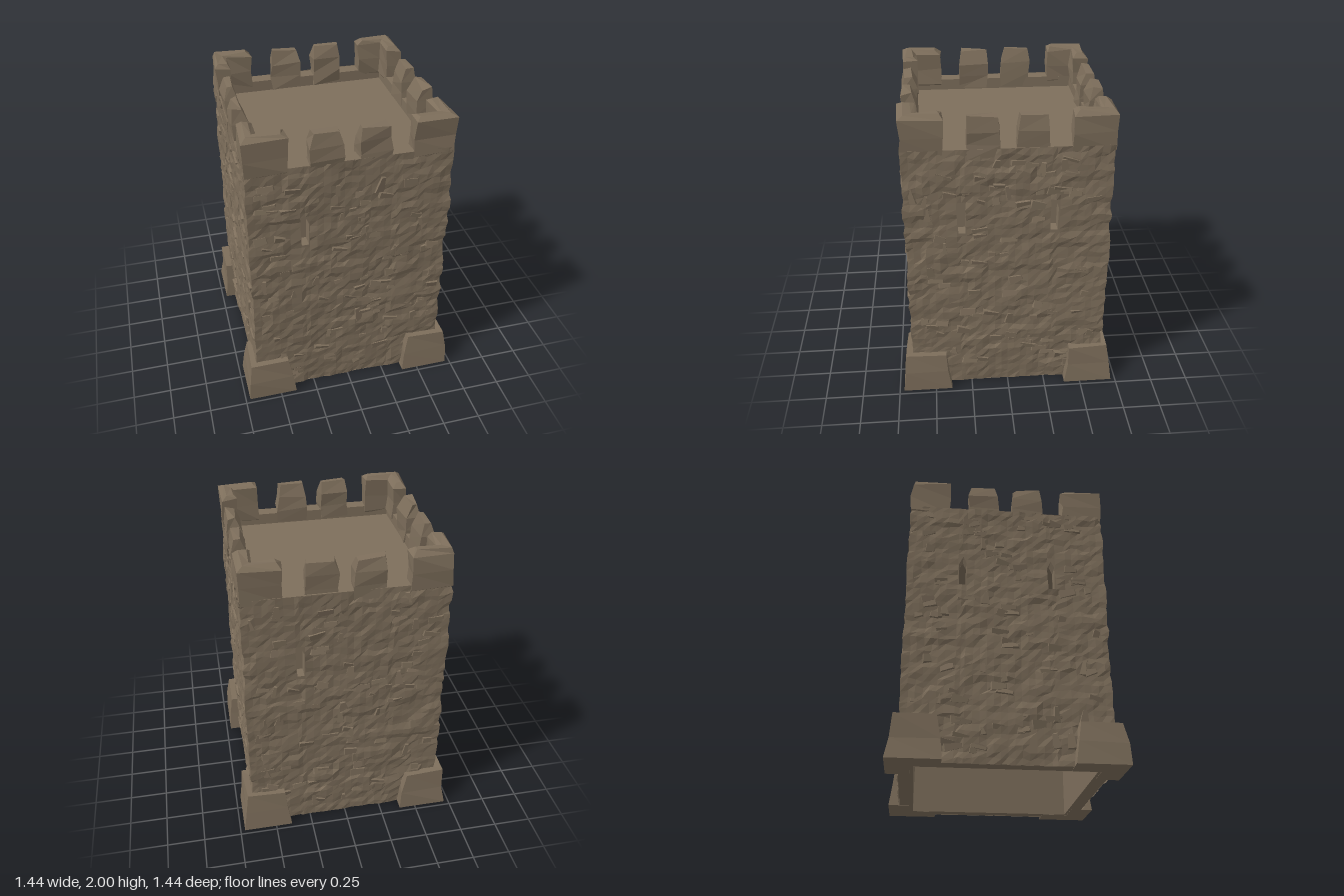
import * as THREE from 'three';
import { mergeGeometries } from 'three/addons/utils/BufferGeometryUtils.js';

const OUT = 0.635, IN = 0.55, WALL = 1.78, COLS = 30, ROWS = 45;
const SLITS = [[-0.29], [-0.29, 0.29], [-0.29], [-0.29, 0.29]]; // front, left, back, right
const UP = new THREE.Vector3(0, 1, 0);

// repeatable value 0..1 from up to three numbers
function hash(a, b = 0, c = 0) {
  const s = Math.sin(a * 127.1 + b * 311.7 + c * 74.7) * 43758.5453;
  return s - Math.floor(s);
}

// move every vertex by a rule
function warp(geometry, rule) {
  const pos = geometry.attributes.position, v = new THREE.Vector3();
  for (let i = 0; i < pos.count; i++) {
    rule(v.fromBufferAttribute(pos, i));
    pos.setXYZ(i, v.x, v.y, v.z);
  }
  geometry.computeVertexNormals();
  return geometry;
}

// rough stone: shared corners receive the same offset
function roughen(geometry, amount) {
  return warp(geometry, v => {
    const [a, b, c] = [v.x, v.y, v.z].map(n => Math.round(n * 500));
    if (v.y < 0.01) return;
    v.x += (hash(a, b, c) - 0.5) * amount;
    v.z += (hash(c, a, b) - 0.5) * amount;
    v.y = Math.min(2, v.y + (hash(b, c, a) - 0.5) * amount);
  });
}

// coursed stone skin running around all four sides, left open at the slits
function stoneSkin() {
  const pos = [], index = [], n = COLS * 4, v = new THREE.Vector3();
  const snapped = { 6: 0.262, 7: 0.29, 8: 0.318 };
  for (let row = 0; row <= ROWS; row++) {
    const course = Math.floor(row / 2);
    for (let p = 0; p < n; p++) {
      const side = Math.floor(p / COLS), i = (p % COLS) - COLS / 2, j = Math.abs(i);
      const u = Math.sign(i) * (snapped[j] ?? j * 0.64 / 15);
      const stone = Math.floor((p + 4 * hash(course, 9)) / 4);
      const r = OUT + 0.014 * hash(course, stone) + 0.008 * hash(p, row, 3);
      const level = row === 0 || row === 30 || row === 36 || row === ROWS;
      const y = WALL * row / ROWS + (level ? 0 : (hash(row, p, 5) - 0.5) * 0.026);
      v.set(u * r / 0.64, y, r).applyAxisAngle(UP, side * Math.PI / 2);
      pos.push(v.x, v.y, v.z);
    }
  }
  for (let row = 0; row < ROWS; row++) for (let p = 0; p < n; p++) {
    const mid = (p % COLS) + 0.5 - COLS / 2, side = Math.floor(p / COLS);
    const inSlit = SLITS[side].some(s => Math.sign(s) === Math.sign(mid)) &&
      Math.abs(mid) > 6 && Math.abs(mid) < 8 && row >= 30 && row < 36;
    if (inSlit) continue;
    const q = (p + 1) % n, a = row * n + p, b = row * n + q;
    index.push(a, b, b + n, a, b + n, a + n);
  }
  const g = new THREE.BufferGeometry();
  g.setAttribute('position', new THREE.Float32BufferAttribute(pos, 3));
  g.setIndex(index);
  g.computeVertexNormals();
  return g;
}

// thin jutting stones scattered on one side
function juttingStones(side) {
  const parts = [];
  for (let k = 0; k < 95; k++) {
    const r = m => hash(k, side + 1, m);
    const x = (r(1) - 0.5) * 1.18, y = 0.08 + r(2) * 1.64;
    if (Math.abs(Math.abs(x) - 0.29) < 0.1 && y > 1.13 && y < 1.48) continue;
    const upright = r(3) > 0.8;
    const g = new THREE.BoxGeometry(0.05 + r(4) * 0.09, 0.025 + r(5) * 0.035, 0.03);
    warp(g, v => {
      if (v.z > 0) v.x *= 0.75;
      if (v.x > 0) v.y *= 0.3 + r(6) * 0.5;
    });
    g.rotateX((r(7) - 0.5) * 0.7);
    g.rotateY((r(8) - 0.5) * 0.16);
    g.rotateZ((r(9) - 0.5) * 0.5 + (upright ? Math.PI / 2 : 0));
    parts.push(g.translate(x, y, OUT + 0.002));
  }
  return mergeGeometries(parts);
}

const polygon = pts => pts.map(p => new THREE.Vector2(...p));
const rectangle = (w, y0, y1) => polygon([[-w, y0], [w, y0], [w, y1], [-w, y1]]);
const slitOutline = x => polygon([[x - 0.023, 1.2], [x + 0.023, 1.2],
  [x + 0.025, 1.36], [x + 0.004, 1.41], [x - 0.025, 1.35]]);

// smooth inner face of one wall
function innerWall(side) {
  const shape = new THREE.Shape(rectangle(IN, 0, WALL));
  SLITS[side].forEach(x => shape.holes.push(new THREE.Path(slitOutline(x))));
  return new THREE.ShapeGeometry(shape).translate(0, 0, IN);
}

// sides of a slit through the wall thickness
function slitFrame(x) {
  const shape = new THREE.Shape(rectangle(0.045, 1.17, 1.44).map(p => p.setX(p.x + x)));
  shape.holes.push(new THREE.Path(slitOutline(x)));
  return new THREE.ExtrudeGeometry(shape, { depth: OUT - IN - 0.004, bevelEnabled: false })
    .translate(0, 0, IN + 0.002);
}

// flat square ring covering the wall thickness
function wallRing(y, facing) {
  const shape = new THREE.Shape(rectangle(0.642, -0.642, 0.642));
  shape.holes.push(new THREE.Path(rectangle(IN, -IN, IN)));
  return new THREE.ShapeGeometry(shape).rotateX(-facing * Math.PI / 2).translate(0, y, 0);
}

// L-shaped block wrapped around a corner
function cornerBlock(inner, outer, arm, y0, y1, bevel) {
  const shape = new THREE.Shape(polygon([[inner, inner], [inner, arm], [outer, arm],
    [outer, outer], [arm, outer], [arm, inner]]));
  return new THREE.ExtrudeGeometry(shape, {
    depth: y1 - y0 - 2 * bevel, steps: 2, bevelEnabled: bevel > 0, bevelSegments: 1,
    bevelThickness: bevel, bevelSize: bevel, bevelOffset: -bevel,
  }).rotateX(Math.PI / 2).translate(0, y1 - bevel, 0);
}

function buttress() {
  return warp(cornerBlock(0.57, 0.72, 0.39, 0, 0.275, 0), v => {
    const k = 1 - 0.2 * v.y / 0.275;
    v.x = 0.57 + (v.x - 0.57) * k;
    v.z = 0.57 + (v.z - 0.57) * k;
  });
}

// merlon narrowing upward, sloped on its inner face
function merlon(x) {
  const g = new THREE.BoxGeometry(0.2, 0.26, 0.1, 1, 3, 1);
  warp(g, v => {
    const t = v.y > 0.1 ? 1 : v.y > 0 ? 0.15 : 0;
    v.x *= 1 - 0.16 * t;
    if (v.z < 0) v.z += 0.035 * t; else v.z -= 0.012 * t;
  });
  return g.translate(x, 1.85, 0.592);
}

export function createModel() {
  const stone = new THREE.MeshStandardMaterial({ color: 0x7d6e5b, flatShading: true, side: THREE.DoubleSide });
  stone.name = 'brown stone';
  const tower = new THREE.Group();
  tower.name = 'stoneTower';
  const add = (name, geometry, parent = tower) => {
    const mesh = new THREE.Mesh(geometry, stone);
    mesh.name = name;
    parent.add(mesh);
  };

  add('outerWalls', stoneSkin());
  add('wallTop', wallRing(WALL, 1));
  add('wallFoot', wallRing(0.002, -1));
  add('roofFloor', new THREE.BoxGeometry(2 * IN, 0.03, 2 * IN).translate(0, 1.69, 0));

  ['front', 'left', 'back', 'right'].forEach((name, side) => {
    const turn = side * Math.PI / 2;
    const wall = new THREE.Group();
    wall.name = name + 'Side';
    wall.rotation.y = turn;
    tower.add(wall);
    add('juttingStones', juttingStones(side), wall);
    add('innerWall', innerWall(side), wall);
    SLITS[side].forEach(x => add('arrowSlit', slitFrame(x), wall));

    // battlements and corner buttresses, roughened after turning so each differs
    [-0.155, 0.145].forEach(x => add('merlon', roughen(merlon(x).rotateY(turn), 0.022)));
    add('cornerMerlon', roughen(cornerBlock(0.545, 0.645, 0.385, 1.72, 2, 0.028).rotateY(turn), 0.022));
    add('buttress', roughen(buttress().rotateY(turn), 0.02));
  });
  return tower;
}
